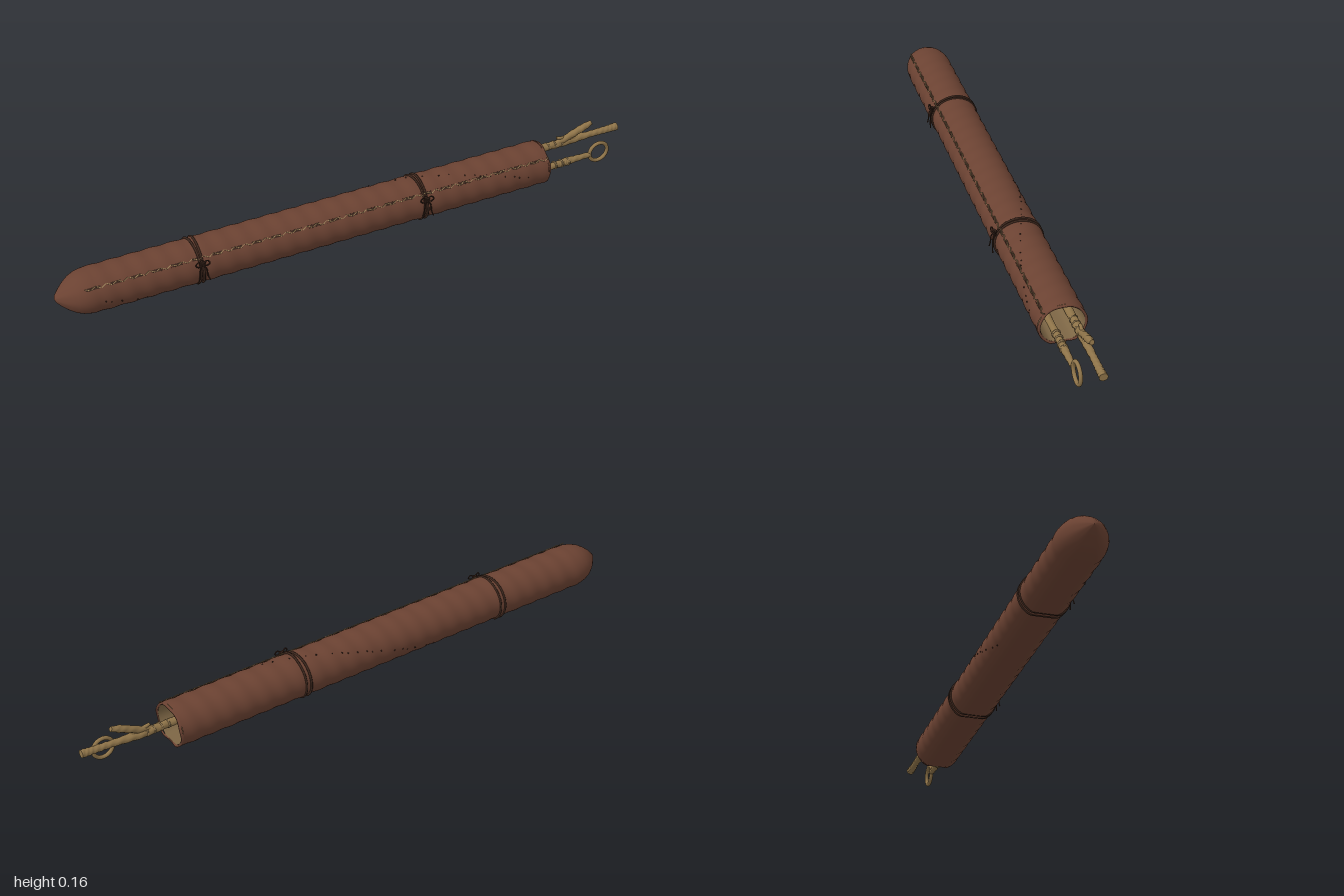
import * as THREE from 'three';

const mat = (name, color, side = THREE.FrontSide) => {
  const m = new THREE.MeshStandardMaterial({ color, side });
  m.name = name;
  return m;
};

// Case cross-section: an ellipse flattened where it rests on the ground
const CY = 0.0636, CZ = -0.005, RY = 0.0705, RZ = 0.077;
const section = (x, a, k = 1, grow = 0) => new THREE.Vector3(
  x,
  Math.max(CY + Math.sin(a) * (RY * k + grow), 0.001 - Math.min(grow, 0) + CY * (1 - Math.min(k, 1))),
  CZ + Math.cos(a) * (RZ * k + grow));

// Skin a list of equally sized closed rings
function loft(rings) {
  const n = rings[0].length, pos = [], idx = [];
  rings.forEach(r => r.forEach(p => pos.push(p.x, p.y, p.z)));
  for (let i = 0; i < rings.length - 1; i++) {
    for (let j = 0; j < n; j++) {
      const a = i * n + j, b = i * n + (j + 1) % n;
      idx.push(a, a + n, b, b, a + n, b + n);
    }
  }
  const g = new THREE.BufferGeometry();
  g.setAttribute('position', new THREE.Float32BufferAttribute(pos, 3));
  g.setIndex(idx);
  g.computeVertexNormals();
  return g;
}

const ring = (n, f) => Array.from({ length: n }, (_, j) => f(j / n * Math.PI * 2));

// Knobbly tapered branch through [x, y, z, radius] points, with cut ends
function branch(points, steps, knots = 0.07) {
  const curve = new THREE.CatmullRomCurve3(points.map(p => new THREE.Vector3(p[0], p[1], p[2])));
  const frames = curve.computeFrenetFrames(steps);
  const rings = [];
  const add = (i, k) => {
    const t = i / steps, c = curve.getPoint(t), f = t * (points.length - 1);
    const s = Math.min(Math.floor(f), points.length - 2);
    const r = THREE.MathUtils.lerp(points[s][3], points[s + 1][3], f - s) * k;
    rings.push(ring(10, a => c.clone()
      .addScaledVector(frames.normals[i], Math.cos(a) * r * (1 + knots * Math.sin(i * 1.7 + 2 * a)))
      .addScaledVector(frames.binormals[i], Math.sin(a) * r * (1 + knots * Math.sin(i * 1.7 + 2 * a)))));
  };
  add(0, 0);
  for (let i = 0; i <= steps; i++) add(i, 1);
  add(steps, 0.95);
  add(steps, 0);
  return loft(rings);
}

export function createModel() {
  const model = new THREE.Group();
  const leather = mat('brown leather', 0x6b4232, THREE.DoubleSide);
  const lining = mat('tan lining', 0x7d6645, THREE.DoubleSide);
  const cord = mat('dark cord', 0x3b261c);
  const thread = mat('pale thread', 0x9a8058);
  const wood = mat('weathered wood', 0x8f7449, THREE.DoubleSide);

  const add = (name, geometry, material, parent = model) => {
    const m = new THREE.Mesh(geometry, material);
    m.name = name;
    parent.add(m);
    return m;
  };

  // Leather case: pleated rounded tip, then a body with a shallow spiral ripple
  const tip = [[-1, 0.01], [-0.995, 0.17], [-0.98, 0.4], [-0.96, 0.64], [-0.94, 0.82], [-0.92, 0.93], [-0.9, 0.985]];
  const outer = tip.map(([x, k]) => ring(48, a =>
    section(x, a, k * (1 + 0.025 * (1 - k) * Math.cos(a * 9)))));
  for (let i = 0; i <= 200; i++) {
    const x = -0.885 + i * 1.57 / 200;
    outer.push(ring(48, a => section(x, a, 1, 0.0012 * Math.sin(x * 95 + a))));
  }
  add('leatherCase', loft(outer), leather);

  // Rolled rim around the mouth
  const lip = [[0.685, 1], [0.69, 1], [0.693, 0.97], [0.693, 0.92], [0.688, 0.89]];
  add('mouthRim', loft(lip.map(([x, k]) => ring(48, a =>
    section(x + 0.002 * Math.sin(a * 5), a, k)))), leather);

  // Tan lining narrowing to a gathered bottom
  const inside = [[0.689, 0.89], [0.3, 0.87], [-0.88, 0.86], [-0.94, 0.5], [-0.96, 0.01]];
  add('innerLining', loft(inside.map(([x, k]) => ring(48, a => section(x, a, k)))), lining);

  // Laced seam along the upper front
  const seam = new THREE.Group();
  seam.name = 'lacedSeam';
  model.add(seam);
  const A = 0.72;
  const seamRings = [-0.915, 0.688].map(x => [[0.06, 0], [0.06, 0.0018], [-0.06, 0.0018], [-0.06, 0]]
    .map(([d, h]) => section(x, A + d, 1, h)));
  const strip = add('seamStrip', loft(seamRings), cord, seam);
  strip.material = cord;
  const stitch = new THREE.BoxGeometry(0.017, 0.0025, 0.0025);
  for (let i = 0; i < 92; i++) {
    const s = add('stitch', stitch, thread, seam);
    s.position.copy(section(-0.91 + i * 0.0175, A, 1, 0.0025));
    s.rotation.set(Math.PI / 2 - A, 0, 0);
    s.rotateY(i % 2 ? 0.5 : -0.5);
  }

  // Scattered small holes in the leather
  const speck = new THREE.SphereGeometry(0.0025, 6, 4);
  for (let i = 0; i < 44; i++) {
    const a = (i * 2.399) % (Math.PI * 2);
    if (Math.sin(a) < -0.6) continue;
    add('leatherHole', speck, cord).position.copy(section(-0.86 + ((i * 0.618) % 1) * 1.5, a, 1, 0));
  }

  // Two doubled ties with a knot and loose ends at the front
  for (const x of [-0.545, 0.23]) {
    const tie = new THREE.Group();
    tie.name = 'tie';
    model.add(tie);
    for (const dx of [-0.009, 0.009]) {
      const path = new THREE.CatmullRomCurve3(ring(40, a => {
        const p = section(x + dx * (1 - 0.5 * Math.max(0, Math.cos(a - 0.5))), a, 1, 0.001);
        p.y = Math.max(p.y, 0.003);
        return p;
      }), true);
      add('tieCord', new THREE.TubeGeometry(path, 80, 0.0038, 6, true), cord, tie);
    }
    const knot = add('knot', new THREE.TorusKnotGeometry(0.006, 0.003, 40, 6), cord, tie);
    knot.position.set(x, 0.101, 0.071);
    for (const s of [-1, 1]) {
      const end = [[0, 0.1, 0.073], [s * 0.01, 0.085, 0.079], [s * 0.013, 0.06, 0.081], [s * 0.02, 0.04, 0.083]];
      const loop = [[0, 0.1, 0.073], [s * 0.015, 0.112, 0.075], [s * 0.023, 0.102, 0.077], [s * 0.012, 0.095, 0.077], [0, 0.1, 0.074]];
      for (const pts of [end, loop]) {
        const c = new THREE.CatmullRomCurve3(pts.map(p => new THREE.Vector3(x + p[0], p[1], p[2])));
        add(pts === end ? 'looseEnd' : 'bowLoop', new THREE.TubeGeometry(c, 16, 0.0022, 5), cord, tie);
      }
    }
  }

  // Forked stick
  const forked = new THREE.Group();
  forked.name = 'forkedStick';
  model.add(forked);
  add('mainStem', branch([[-0.7, 0.07, -0.02, 0.012], [0.3, 0.085, -0.026, 0.012], [0.7, 0.093, -0.03, 0.013],
    [0.8, 0.093, -0.03, 0.014], [0.9, 0.098, -0.027, 0.011], [0.96, 0.1, -0.025, 0.012], [1, 0.102, -0.024, 0.0135]], 60), wood, forked);
  add('forkTwig', branch([[0.75, 0.092, -0.029, 0.009], [0.8, 0.108, -0.027, 0.011], [0.84, 0.125, -0.025, 0.012],
    [0.87, 0.138, -0.023, 0.012], [0.897, 0.148, -0.023, 0.008]], 18), wood, forked);
  add('crossTwig', branch([[0.77, 0.118, -0.03, 0.005], [0.81, 0.106, -0.028, 0.008], [0.86, 0.098, -0.027, 0.008]], 10), wood, forked);

  // Ring-ended rod
  const rod = new THREE.Group();
  rod.name = 'ringRod';
  model.add(rod);
  add('rodShaft', branch([[-0.7, 0.055, 0.02, 0.011], [0.4, 0.05, 0.021, 0.011], [0.75, 0.05, 0.022, 0.012],
    [0.78, 0.052, 0.022, 0.013], [0.87, 0.053, 0.022, 0.009]], 50), wood, rod);
  add('rodRing', new THREE.TorusGeometry(0.034, 0.0065, 10, 32), wood, rod).position.set(0.905, 0.055, 0.022);

  // Thread bindings and collars on both sticks
  const collar = new THREE.TorusGeometry(0.012, 0.003, 6, 16);
  for (let i = 0; i < 4; i++) {
    const x = 0.71 + i * 0.025;
    for (const [y, z, parent] of [[0.093, -0.03, forked], [0.051, 0.022, rod]]) {
      const c = add('binding', collar, thread, parent);
      c.position.set(x, y, z);
      c.rotation.y = Math.PI / 2 + 0.15;
    }
  }
  return model;
}
